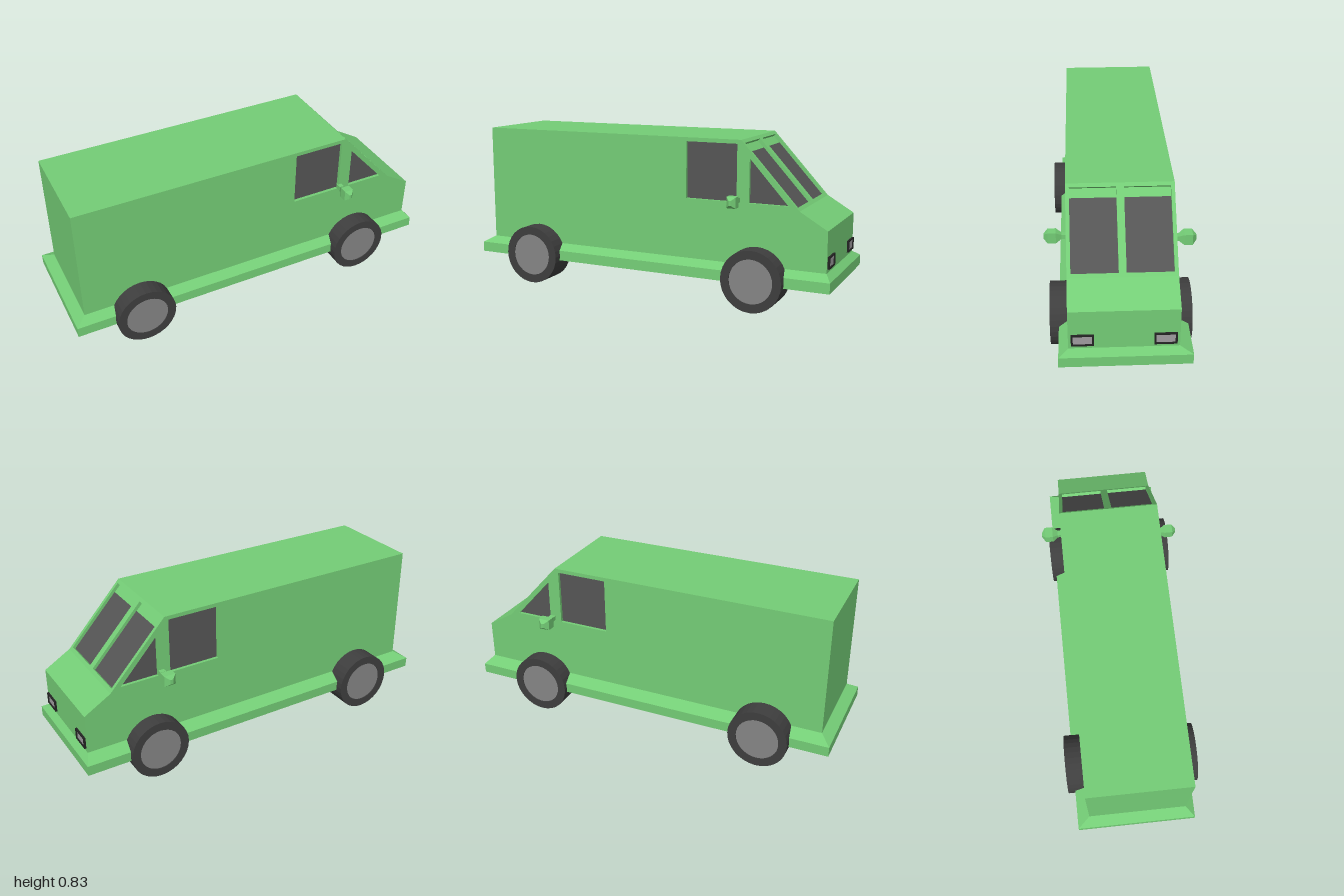
import * as THREE from 'three';

const mat = (color, side = THREE.FrontSide) =>
  new THREE.MeshStandardMaterial({ color, side, flatShading: true });
const paint = mat(0x74cd76);
const glass = mat(0x555555, THREE.DoubleSide);
const rubber = mat(0x3e3e3e);
const steel = mat(0x858585);
const trim = mat(0x222222);
const lamp = mat(0xa09ca0);

const HALF = 0.256;   // half width of the body
const INSET = 0.018;  // depth of the window recesses

function add(parent, name, geometry, material, x = 0, y = 0, z = 0) {
  const mesh = new THREE.Mesh(geometry, material);
  mesh.name = name;
  mesh.position.set(x, y, z);
  parent.add(mesh);
  return mesh;
}

const shapeOf = pts => new THREE.Shape(pts.map(p => new THREE.Vector2(...p)));
const extrude = (shape, depth) =>
  new THREE.ExtrudeGeometry(shape, { depth, bevelEnabled: false });
const rect = (x0, y0, x1, y1) => [[x0, y0], [x1, y0], [x1, y1], [x0, y1]];

// Capped skin over four-cornered rings, counter-clockwise seen from the last ring's side
function loft(rings) {
  const pos = [];
  const quad = (a, b, c, d) => pos.push(...a, ...b, ...c, ...a, ...c, ...d);
  for (let i = 0; i + 1 < rings.length; i++) {
    for (let j = 0; j < 4; j++) {
      const k = (j + 1) % 4;
      quad(rings[i][j], rings[i][k], rings[i + 1][k], rings[i + 1][j]);
    }
  }
  quad(...[...rings[0]].reverse());
  quad(...rings[rings.length - 1]);
  const g = new THREE.BufferGeometry();
  g.setAttribute('position', new THREE.Float32BufferAttribute(pos, 3));
  g.computeVertexNormals();
  return g;
}

// Side outline of the body, and the two side windows
const slopeTop = [0.53, 0.832], slopeEnd = [0.83, 0.505];
const nose = [[0.97, 0.422], [0.97, 0.2]];
const tail = [[-0.945, 0.2], [-0.945, 0.832]];
const doorWindow = rect(0.24, 0.525, 0.51, 0.812);
const quarterWindow = [[0.575, 0.525], [0.775, 0.525], [0.575, 0.745]];

function makeBody() {
  const body = new THREE.Group();
  body.name = 'body';
  const dx = slopeEnd[0] - slopeTop[0], dy = slopeTop[1] - slopeEnd[1];
  const len = Math.hypot(dx, dy);
  const sink = ([x, y]) => [x - INSET * dy / len, y - INSET * dx / len];

  // Core, set back behind the windscreen frame and the side panels
  const core = shapeOf([...tail, slopeTop, sink(slopeTop), sink(slopeEnd), slopeEnd, ...nose]);
  const inner = HALF - INSET;
  add(body, 'bodyCore', extrude(core, 2 * inner), paint, 0, 0, -inner);

  // Side panels with window openings, glass behind them
  for (const s of [1, -1]) {
    const panel = shapeOf([...tail, slopeTop, slopeEnd, ...nose]);
    for (const w of [doorWindow, quarterWindow]) {
      panel.holes.push(shapeOf(w));
      add(body, 'sideWindow', new THREE.ShapeGeometry(shapeOf(w)), glass, 0, 0, s * (inner + 0.002));
    }
    add(body, 'sidePanel', extrude(panel, INSET), paint, 0, 0, s > 0 ? inner : -HALF);
  }

  // Windscreen: local x runs down the slope, local y points outward
  const screen = new THREE.Group();
  screen.name = 'windscreen';
  screen.position.set(...slopeTop, 0);
  screen.rotation.z = -Math.atan2(dy, dx);
  const bar = (name, s0, s1, width) => add(screen, name,
    new THREE.BoxGeometry(s1 - s0, INSET, width), paint, (s0 + s1) / 2, -INSET / 2, 0);
  bar('windscreenTopRail', 0, 0.02, 2 * inner);
  bar('windscreenBottomRail', 0.423, len, 2 * inner);
  bar('windscreenPillar', 0.02, 0.423, 0.036);
  for (const s of [1, -1]) {
    const pane = new THREE.PlaneGeometry(0.423 - 0.067, inner - 0.018).rotateX(-Math.PI / 2);
    add(screen, 'windscreenPane', pane, glass, 0.245, 0.002 - INSET, s * (inner + 0.018) / 2);
  }
  body.add(screen);
  return body;
}

// Bumper skirt with a sloped upper edge
function makeSkirt() {
  const ring = (y, x0, x1, z0, z1) => [[x0, y, z1], [x1, y, z1], [x1, y, z0], [x0, y, z0]];
  return loft([
    ring(0.132, -1, 1, -0.318, 0.304),
    ring(0.185, -1, 1, -0.319, 0.302),
    ring(0.217, -0.945, 0.97, -HALF, HALF),
  ]);
}

// Wheel centred on its own axle along z
function makeWheel(width) {
  const wheel = new THREE.Group();
  wheel.name = 'wheel';
  const h = width / 2;
  const profile = [[0.112, -h], [0.156, -h], [0.156, h], [0.112, h], [0.112, -h]];
  add(wheel, 'tyre', new THREE.LatheGeometry(profile.map(p => new THREE.Vector2(...p)), 32), rubber);
  add(wheel, 'hub', new THREE.CylinderGeometry(0.112, 0.112, width - 0.008, 32), steel);
  wheel.rotation.x = Math.PI / 2;
  return wheel;
}

// Door mirror growing outward along z: [distance, half width, half height]
function makeMirror() {
  const steps = [[-0.01, 0.012, 0.012], [0.025, 0.012, 0.012], [0.052, 0.024, 0.028],
    [0.092, 0.024, 0.028], [0.111, 0.006, 0.012]];
  return loft(steps.map(([z, w, h]) => rect(-w, -h, w, h).map(p => [...p, z])));
}

function makeHeadlight() {
  const light = new THREE.Group();
  light.name = 'headlight';
  const frame = shapeOf(rect(-0.053, -0.03, 0.053, 0.03));
  frame.holes.push(shapeOf(rect(-0.044, -0.023, 0.044, 0.023)));
  add(light, 'headlightFrame', extrude(frame, 0.014), trim, 0, 0, -0.004);
  add(light, 'headlightLens', new THREE.BoxGeometry(0.09, 0.048, 0.008), lamp);
  light.rotation.y = Math.PI / 2;
  return light;
}

export function createModel() {
  const van = new THREE.Group();
  van.name = 'van';
  van.add(makeBody());
  add(van, 'bumperSkirt', makeSkirt(), paint);

  // Wheels: [x, inner z, outer z]
  for (const [x, z0, z1] of [[-0.645, 0.2, 0.345], [0.62, 0.2, 0.345],
    [-0.645, -0.19, -0.357], [0.62, -0.19, -0.34]]) {
    const wheel = makeWheel(Math.abs(z1 - z0));
    wheel.position.set(x, 0.156, (z0 + z1) / 2);
    van.add(wheel);
  }

  // Headlights on the nose
  for (const s of [1, -1]) {
    const light = makeHeadlight();
    light.position.set(0.97, 0.265, s * 0.19);
    van.add(light);
  }

  // Door mirrors
  add(van, 'leftMirror', makeMirror(), paint, 0.517, 0.538, HALF);
  const other = add(van, 'rightMirror', makeMirror(), paint, 0.56, 0.542, -HALF);
  other.rotation.y = Math.PI;
  other.scale.x = 1.25;
  return van;
}
